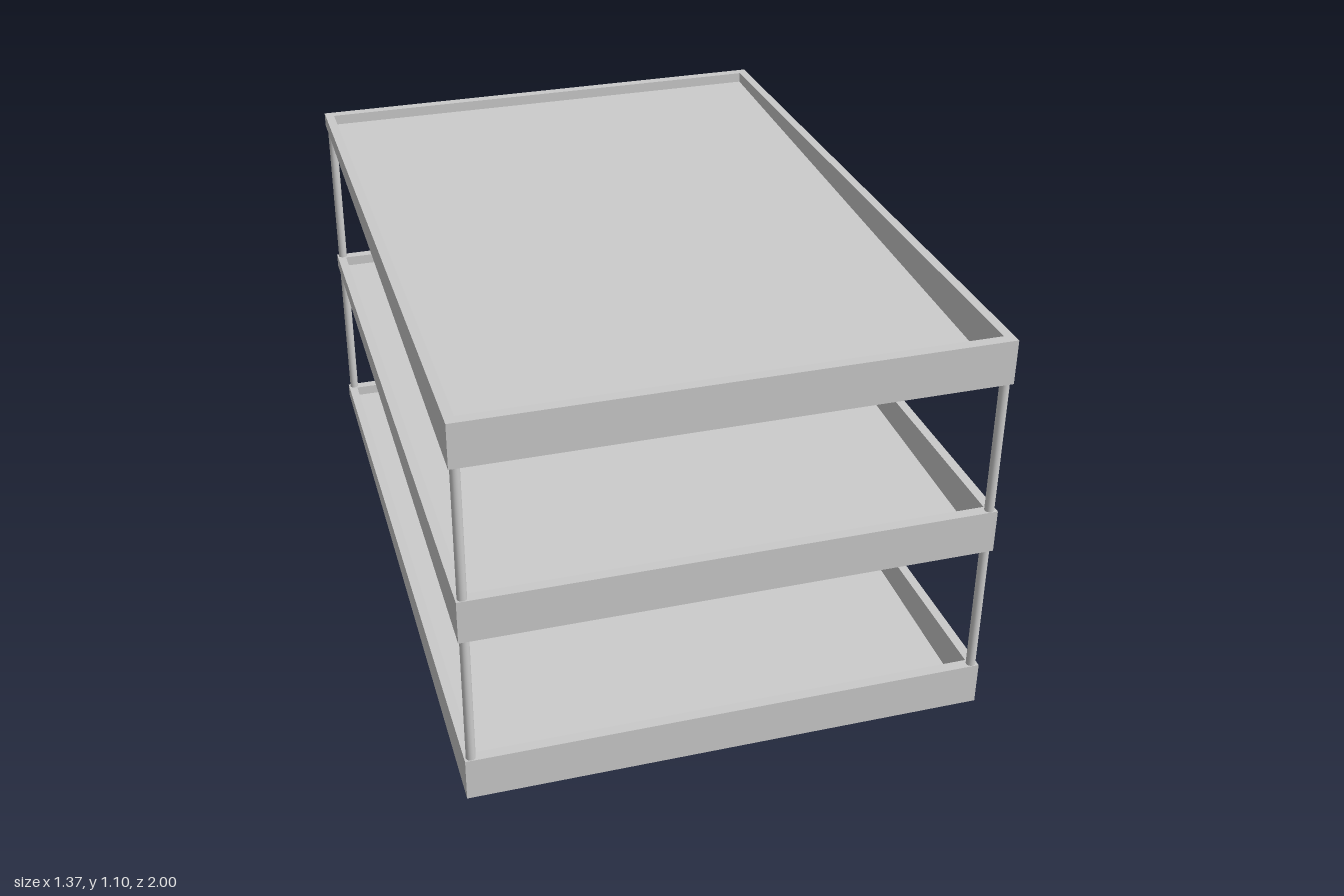
import * as THREE from 'three';

const W = 0.685, D = 1;            // half width and half depth
const WALL = 0.03, SIDE = 0.025;   // rim thickness front/back and at the sides
const FLOOR = 0.012, STEP = 0.49;  // floor thickness and tray spacing
const rimTop = z => 0.08 + 0.04 * z; // rim is high in front, low at the back

const material = new THREE.MeshStandardMaterial({ color: 0xcccccc });

function rectangle(path, w, d) {
  path.moveTo(-w, -d);
  path.lineTo(w, -d);
  path.lineTo(w, d);
  path.lineTo(-w, d);
  path.closePath();
  return path;
}

// Rectangular frame whose upper edge slopes down towards the back
function rimGeometry() {
  const shape = rectangle(new THREE.Shape(), W, D);
  shape.holes.push(rectangle(new THREE.Path(), W - SIDE, D - WALL));
  const geometry = new THREE.ExtrudeGeometry(shape, { depth: 1, bevelEnabled: false });
  geometry.rotateX(-Math.PI / 2);
  const p = geometry.attributes.position;
  for (let i = 0; i < p.count; i++) {
    p.setY(i, p.getY(i) > 0.5 ? rimTop(p.getZ(i)) : 0);
  }
  geometry.computeVertexNormals();
  return geometry;
}

export function createModel() {
  const model = new THREE.Group();
  model.name = 'trayRack';

  const add = (parent, name, geometry, x, y, z) => {
    const mesh = new THREE.Mesh(geometry, material);
    mesh.name = name;
    mesh.position.set(x, y, z);
    parent.add(mesh);
  };

  // Three stacked trays
  const rim = rimGeometry();
  const floor = new THREE.BoxGeometry(2 * (W - SIDE), FLOOR, 2 * (D - WALL));
  for (let level = 0; level < 3; level++) {
    const tray = new THREE.Group();
    tray.name = `tray${level + 1}`;
    tray.position.y = level * STEP;
    add(tray, 'rim', rim, 0, 0, 0);
    add(tray, 'floor', floor, 0, FLOOR / 2, 0);
    model.add(tray);
  }

  // Corner posts, from each rim to the underside of the tray above
  const px = 0.668, pz = 0.986;
  for (let level = 0; level < 2; level++) {
    for (const sz of [1, -1]) {
      const bottom = rimTop(sz * pz) - 0.005;
      const post = new THREE.CylinderGeometry(0.0125, 0.0125, STEP - bottom, 16);
      for (const sx of [1, -1]) {
        const name = (sz > 0 ? 'front' : 'back') + (sx > 0 ? 'Left' : 'Right') + 'Post';
        add(model, name, post, sx * px, level * STEP + (STEP + bottom) / 2, sz * pz);
      }
    }
  }
  return model;
}
